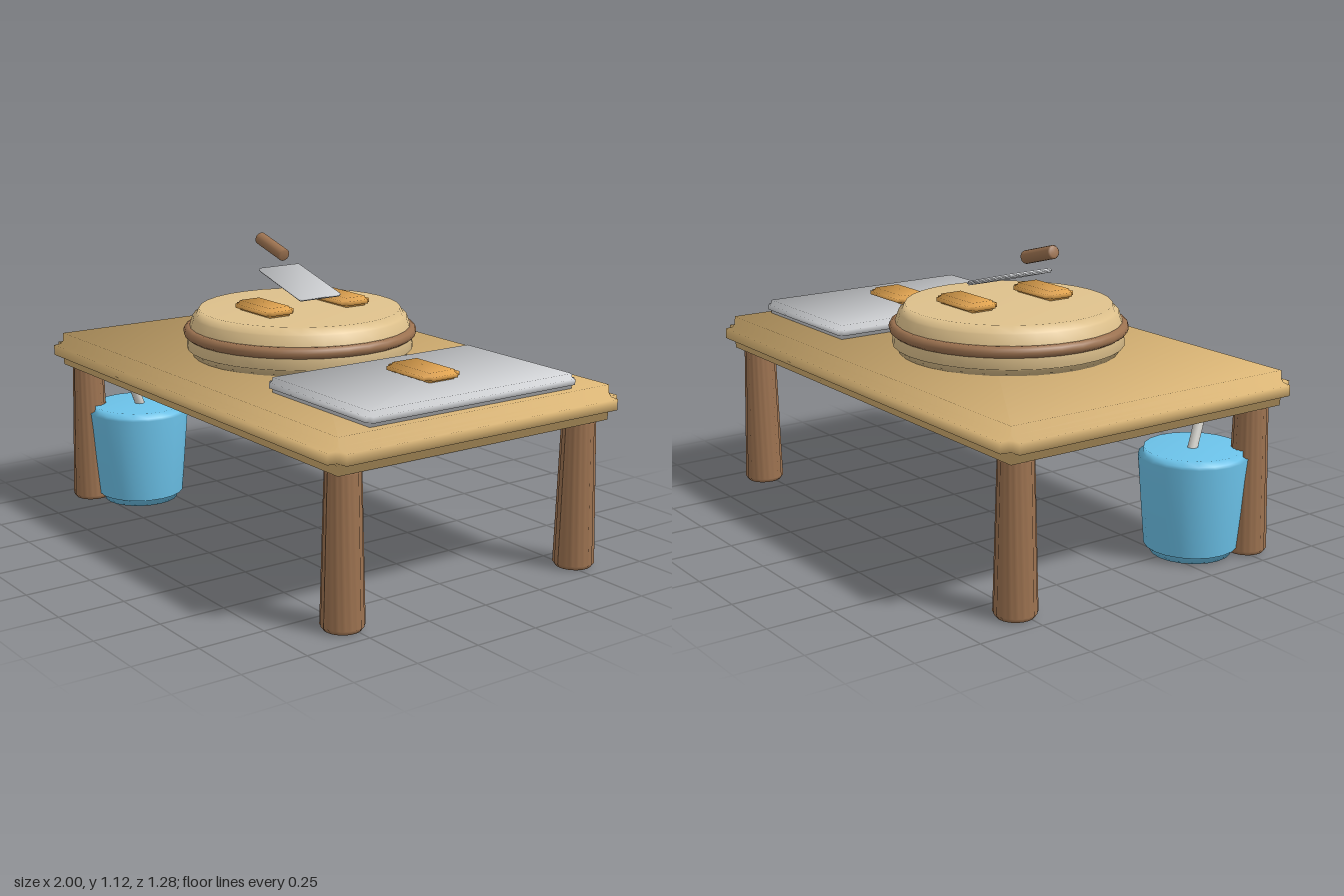
import * as THREE from 'three';

const TAN = 0xdfb978, PALE = 0xdec18c, BROWN = 0x9c7250, ORANGE = 0xe8a850, STEEL = 0xd6d8db, BLUE = 0x6cc3ea, BONE = 0xd8d6d0;

function part(name, geometry, color, parent, x = 0, y = 0, z = 0) {
  const mesh = new THREE.Mesh(geometry, new THREE.MeshStandardMaterial({ color }));
  mesh.name = name;
  mesh.position.set(x, y, z);
  parent.add(mesh);
  return mesh;
}

// Slab with cove-cut edges and corners; normals lean outward for a soft, pillowy shade.
// w, h, d: full size; bx, by, bz: depth of the cove on each axis
function coveSlab(w, h, d, bx, by, bz) {
  const ix = w / 2 - bx, iz = d / 2 - bz;
  const cove = [[0, 1], [0.06, 0.3], [0.3, 0.06], [1, 0]];
  const edge = [[0, 0], [0.06, 0.7], [0.3, 0.94], [1, 1]]; // outward step, depth from the face
  const rings = [
    ...edge.map(([t, u]) => [t, u * by]),
    ...edge.slice().reverse().map(([t, u]) => [t, h - u * by]),
  ];
  const pos = [], nor = [], idx = [];
  const unit = 1 / Math.sqrt(3);
  rings.forEach(([t, y]) => {
    [[1, 1], [-1, 1], [-1, -1], [1, -1]].forEach(([sx, sz]) => {
      const corner = sx * sz > 0 ? cove.slice().reverse() : cove;
      corner.forEach(([p, q]) => {
        pos.push(sx * (ix + bx * t * p), y, sz * (iz + bz * t * q));
        nor.push(sx * unit, (y < h / 2 ? -1 : 1) * unit, sz * unit);
      });
    });
  });
  const n = 16;
  for (let r = 0; r < rings.length - 1; r++) {
    for (let i = 0; i < n; i++) {
      const a = r * n + i, b = r * n + (i + 1) % n;
      idx.push(b, a, a + n, b, a + n, b + n);
    }
  }
  // bottom and top faces
  const top = (rings.length - 1) * n;
  for (let i = 1; i < n - 1; i++) idx.push(0, i, i + 1, top, top + i + 1, top + i);
  const g = new THREE.BufferGeometry();
  g.setAttribute('position', new THREE.Float32BufferAttribute(pos, 3));
  g.setAttribute('normal', new THREE.Float32BufferAttribute(nor, 3));
  g.setIndex(idx);
  return g;
}

function lathe(points, segments) {
  return new THREE.LatheGeometry(points.map(([r, y]) => new THREE.Vector2(r, y)), segments);
}

// Tapered leg whose radius alternates around the axis like rough bark
function legGeometry() {
  const g = lathe([[0, 0], [0.066, 0], [0.077, 0.015], [0.063, 0.545], [0.056, 0.556], [0, 0.556]], 40);
  const p = g.attributes.position;
  for (let i = 0; i < p.count; i++) {
    const column = Math.floor(i / 6) % 2, row = i % 6;
    if (column && row > 1 && row < 4) p.setXYZ(i, p.getX(i) * 0.93, p.getY(i), p.getZ(i) * 0.93);
  }
  g.computeVertexNormals();
  return g;
}

export function createModel() {
  const model = new THREE.Group();
  model.name = 'cookingTable';

  // Table
  const table = new THREE.Group();
  table.name = 'table';
  model.add(table);
  part('tableTop', coveSlab(2, 0.13, 1.28, 0.047, 0.045, 0.043), TAN, table, 0, 0.56, 0);
  const leg = legGeometry();
  for (const sx of [-1, 1]) {
    for (const sz of [-1, 1]) {
      const side = (sz > 0 ? 'front' : 'back') + (sx > 0 ? 'Left' : 'Right');
      part(side + 'Leg', leg, BROWN, table, sx * 0.882, 0.005, sz * 0.525);
    }
  }

  // Round chopping block with a band around it
  const block = new THREE.Group();
  block.name = 'choppingBlock';
  block.position.set(-0.12, 0.69, 0);
  model.add(block);
  part('blockBody', lathe([
    [0, 0], [0.415, 0], [0.417, 0.02], [0.437, 0.027], [0.432, 0.09],
    [0.413, 0.148], [0.4, 0.151], [0.388, 0.177], [0, 0.177],
  ], 32), PALE, block);
  const band = new THREE.TorusGeometry(0.428, 0.022, 10, 32);
  band.rotateX(Math.PI / 2);
  part('blockBand', band, BROWN, block, 0, 0.09, 0);
  for (const s of [-1, 1]) {
    part(s > 0 ? 'frontSlice' : 'backSlice', coveSlab(0.245, 0.038, 0.128, 0.02, 0.011, 0.02),
      ORANGE, block, 0.02, 0.176, s * 0.177);
  }

  // Metal tray with a slice on it
  const tray = new THREE.Group();
  tray.name = 'tray';
  tray.position.set(0.637, 0.69, 0);
  model.add(tray);
  part('trayPlate', coveSlab(0.6, 0.055, 0.92, 0.018, 0.017, 0.014), STEEL, tray);
  part('traySlice', coveSlab(0.252, 0.036, 0.16, 0.022, 0.011, 0.025), ORANGE, tray, 0, 0.054, 0);

  // Cleaver hovering above the block
  const cleaver = new THREE.Group();
  cleaver.name = 'cleaver';
  cleaver.position.set(-0.122, 0.962, 0);
  cleaver.rotation.z = -0.265;
  model.add(cleaver);
  part('cleaverBlade', coveSlab(0.295, 0.016, 0.19, 0.006, 0.005, 0.006), STEEL, cleaver, 0, -0.008, 0);
  const grip = lathe([
    [0, -0.09], [0.02, -0.09], [0.025, -0.084], [0.025, 0.084], [0.02, 0.09], [0, 0.09],
  ], 16);
  grip.rotateZ(Math.PI / 2);
  part('cleaverHandle', grip, BROWN, cleaver, -0.21, 0.06, 0);

  // Bucket under the table, with a stick and a ball on top
  const bucket = new THREE.Group();
  bucket.name = 'bucket';
  bucket.position.set(-0.764, 0, 0.36);
  model.add(bucket);
  part('bucketBody', lathe([
    [0, 0.003], [0.148, 0.003], [0.152, 0.025], [0.172, 0.032],
    [0.2, 0.372], [0.182, 0.378], [0.18, 0.4], [0, 0.4],
  ], 20), BLUE, bucket);
  const from = new THREE.Vector3(-0.012, 0.33, -0.035), to = new THREE.Vector3(0.016, 0.535, 0.053);
  const stick = part('stick', new THREE.CylinderGeometry(0.019, 0.019, from.distanceTo(to), 12), BONE, bucket);
  stick.position.copy(from).lerp(to, 0.5);
  stick.quaternion.setFromUnitVectors(new THREE.Vector3(0, 1, 0), to.clone().sub(from).normalize());
  part('ball', new THREE.SphereGeometry(0.046, 20, 14), BONE, bucket, 0.04, 0.546, 0.004);

  return model;
}
